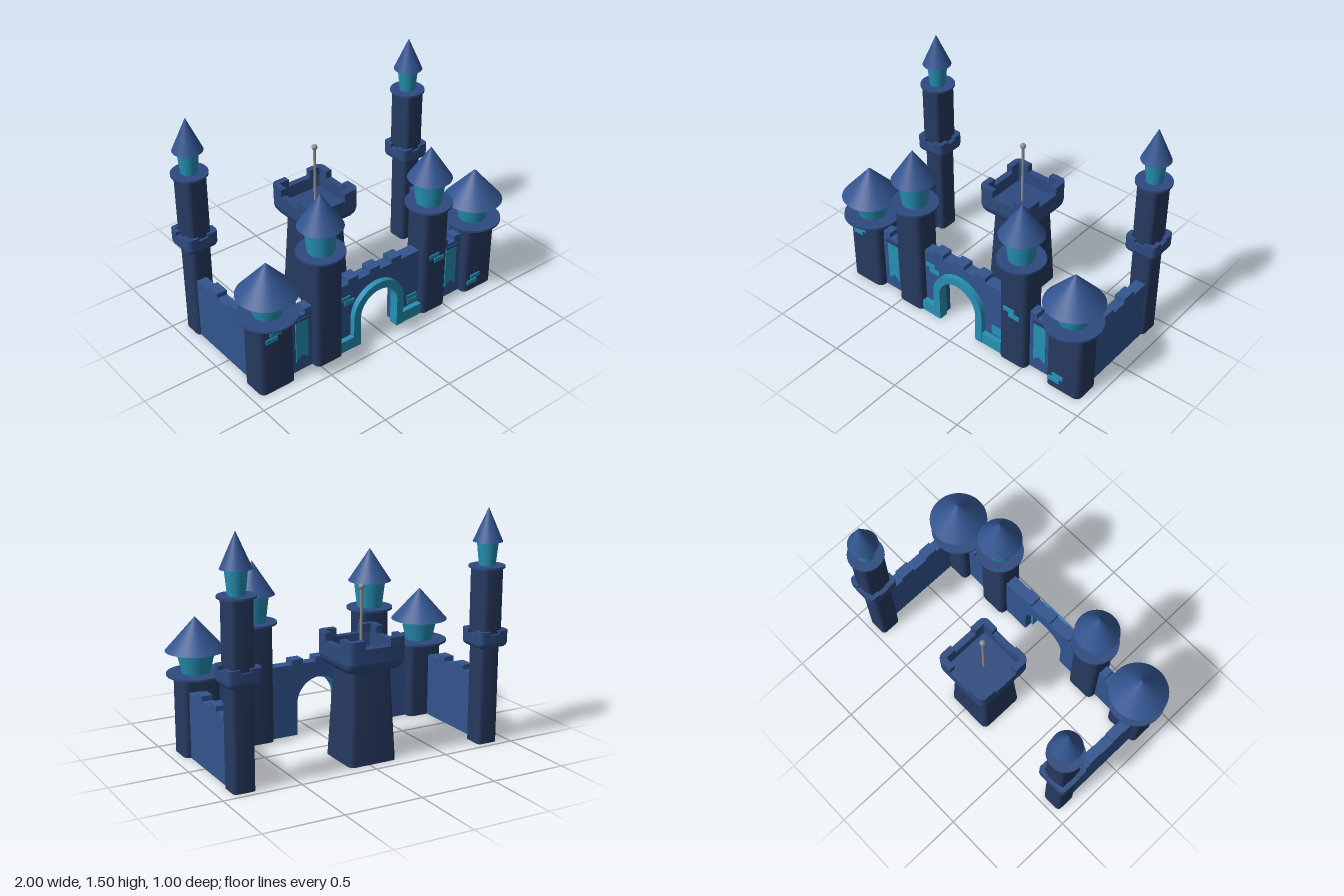
import * as THREE from 'three';
import { toCreasedNormals } from 'three/addons/utils/BufferGeometryUtils.js';

const mat = (name, color) => {
  const m = new THREE.MeshStandardMaterial({ color });
  m.name = name;
  return m;
};

export function createModel() {
  const root = new THREE.Group();
  root.name = 'castle';
  const stone = mat('blue stone', 0x32548f);
  const navy = mat('dark navy', 0x26395f);
  const rimBlue = mat('rim blue', 0x2d4a7e);
  const teal = mat('teal', 0x2590b4);
  const metal = mat('grey metal', 0x8c8c8c);

  const add = (name, geo, material, x = 0, y = 0, z = 0, parent = root) => {
    const m = new THREE.Mesh(geo, material);
    m.name = name;
    m.position.set(x, y, z);
    parent.add(m);
    return m;
  };
  const box = (name, material, x0, x1, y0, y1, z0, z1, parent) =>
    add(name, new THREE.BoxGeometry(x1 - x0, y1 - y0, z1 - z0), material,
      (x0 + x1) / 2, (y0 + y1) / 2, (z0 + z1) / 2, parent);

  // Rounded rectangle outline, counter-clockwise
  const outline = (hw, hd, r, n = 4) => {
    const pts = [];
    [[1, 1], [-1, 1], [-1, -1], [1, -1]].forEach(([sx, sy], q) => {
      for (let i = 0; i <= n; i++) {
        const a = (q + i / n) * Math.PI / 2;
        pts.push(new THREE.Vector2(sx * (hw - r) + r * Math.cos(a), sy * (hd - r) + r * Math.sin(a)));
      }
    });
    return pts;
  };

  // Closed solid through stacked rounded rectangles [y, halfWidth, halfDepth, radius]
  const loft = (sections) => {
    const pos = [], idx = [];
    const rings = sections.map(([y, hw, hd, r]) => outline(hw, hd, r).map((p) => [p.x, y, -p.y]));
    const n = rings[0].length;
    rings.forEach((ring) => ring.forEach((p) => pos.push(...p)));
    for (let k = 0; k < rings.length - 1; k++) {
      for (let i = 0; i < n; i++) {
        const a = k * n + i, b = k * n + (i + 1) % n;
        idx.push(a, b, b + n, a, b + n, a + n);
      }
    }
    const top = (rings.length - 1) * n;
    for (let i = 1; i < n - 1; i++) idx.push(0, i + 1, i, top, top + i, top + i + 1);
    const g = new THREE.BufferGeometry();
    g.setAttribute('position', new THREE.Float32BufferAttribute(pos, 3));
    g.setIndex(idx);
    return toCreasedNormals(g, 0.6);
  };

  const extrude = (shape, depth) => toCreasedNormals(
    new THREE.ExtrudeGeometry(shape, { depth, bevelEnabled: false, curveSegments: 24 }), 0.6);
  const extrudeUp = (shape, h) => extrude(shape, h).rotateX(-Math.PI / 2);

  // Crenellated crown: curved underside, hollow rim and four corner merlons
  const crown = (name, x, z, h, inner, y0, yFloor, yLow, yTop, arm, t, r) => {
    const g = new THREE.Group();
    g.name = name;
    g.position.set(x, 0, z);
    root.add(g);
    const sections = [];
    for (let i = 0; i <= 4; i++) {
      const a = (i / 4) * Math.PI / 2;
      const w = inner + (h - inner) * Math.sin(a);
      sections.push([y0 + (yFloor - y0) * (1 - Math.cos(a)), w, w, r]);
    }
    add('crownBase', loft(sections), rimBlue, 0, 0, 0, g);
    const ring = new THREE.Shape(outline(h, h, r));
    ring.holes.push(new THREE.Path(outline(h - t, h - t, r * 0.4).reverse()));
    add('crownRim', extrudeUp(ring, yLow - yFloor), rimBlue, 0, yFloor, 0, g);
    const corner = new THREE.Shape();
    corner.moveTo(h, h - arm);
    corner.lineTo(h, h - r);
    corner.absarc(h - r, h - r, r, 0, Math.PI / 2, false);
    corner.lineTo(h - arm, h);
    corner.lineTo(h - arm, h - t);
    corner.lineTo(h - t, h - t);
    corner.lineTo(h - t, h - arm);
    const geo = extrudeUp(corner, yTop - yLow);
    for (let i = 0; i < 4; i++) add('crownMerlon', geo, rimBlue, 0, yLow, 0, g).rotation.y = i * Math.PI / 2;
  };

  // Round tower head: ledge, flared drum and cone
  const head = (x, z, y, ledgeR, r0, r1, yEave, coneR, yTip) => {
    add('ledge', new THREE.CylinderGeometry(ledgeR, ledgeR, 0.013, 48), rimBlue, x, y + 0.0065, z);
    const h = yEave - y;
    add('drum', new THREE.CylinderGeometry(r1, r0, h, 48), teal, x, y + h / 2, z);
    add('coneRoof', new THREE.ConeGeometry(coneR, yTip - yEave, 48), stone, x, (yEave + yTip) / 2, z);
  };

  const ox = -0.004;
  for (const s of [-1, 1]) {
    // Front corner tower
    let x = ox + s * 0.811;
    add('cornerTower', loft([[0, 0.124, 0.093, 0.035], [0.505, 0.124, 0.093, 0.035]]), navy, x, 0, 0.308);
    head(x, 0.308, 0.502, 0.184, 0.086, 0.12, 0.655, 0.187, 0.865);

    // Gate tower
    x = ox + s * 0.422;
    add('gateTower', loft([[0, 0.101, 0.09, 0.035], [0.775, 0.101, 0.09, 0.035]]), navy, x, 0, 0.31);
    head(x, 0.31, 0.771, 0.15, 0.08, 0.103, 0.957, 0.14, 1.17);

    // Rear tower with collar
    x = ox + s * 0.846;
    add('rearTower', loft([[0, 0.07, 0.072, 0.025], [0.69, 0.07, 0.072, 0.025]]), navy, x, 0, -0.387);
    add('rearTowerUpper', loft([[0.65, 0.07, 0.088, 0.025], [1.132, 0.07, 0.088, 0.025]]), navy, x, 0, -0.39);
    crown('rearCollar', x, -0.391, 0.107, 0.085, 0.633, 0.665, 0.718, 0.741, 0.075, 0.03, 0.03);
    head(x, -0.391, 1.129, 0.113, 0.05, 0.067, 1.29, 0.093, 1.5);

    // Side wall
    x = ox + s * 0.864;
    box('sideWall', stone, x - 0.035, x + 0.035, 0, 0.418, -0.33, 0.24);
    for (const [z0, z1] of [[0.02, 0.11], [-0.19, -0.09]])
      box('sideMerlon', stone, x - 0.035, x + 0.035, 0.418, 0.45, z0, z1);

    // Short front wall with hanging banner
    x = ox + s * 0.601;
    box('shortWall', stone, x - 0.1, x + 0.1, 0, 0.41, 0.272, 0.346);
    for (const d of [-0.055, 0.055]) box('shortMerlon', stone, x + d - 0.027, x + d + 0.027, 0.41, 0.447, 0.272, 0.346);
    const flag = new THREE.Shape([[-0.045, 0.385], [-0.045, 0.08], [0, 0.118], [0.045, 0.08], [0.045, 0.385]]
      .map((p) => new THREE.Vector2(...p)));
    add('banner', extrude(flag, 0.008), teal, x, 0, 0.345);
    box('bannerRod', navy, x - 0.052, x + 0.052, 0.382, 0.392, 0.345, 0.361);
  }

  // Arched path used for the gate opening and its moulding
  const cx = -0.032, spring = 0.208;
  const archTo = (shape, r) => {
    shape.lineTo(cx + r, 0);
    shape.lineTo(cx + r, spring);
    shape.absarc(cx, spring, r, 0, Math.PI, false);
    shape.lineTo(cx - r, 0);
  };
  const wall = new THREE.Shape();
  wall.moveTo(-0.35, 0);
  wall.lineTo(-0.35, 0.475);
  wall.lineTo(0.35, 0.475);
  wall.lineTo(0.35, 0);
  archTo(wall, 0.165);
  add('gateWall', extrude(wall, 0.08), stone, 0, 0, 0.268);
  for (const x of [-0.21, -0.04, 0.13]) box('gateMerlon', stone, x - 0.04, x + 0.04, 0.475, 0.507, 0.268, 0.348);

  const trim = new THREE.Shape();
  trim.moveTo(cx - 0.2, 0);
  trim.lineTo(cx - 0.2, spring);
  trim.absarc(cx, spring, 0.2, Math.PI, 0, true);
  trim.lineTo(cx + 0.2, 0);
  archTo(trim, 0.147);
  add('gateArch', extrude(trim, 0.065), teal, 0, 0, 0.32);
  box('gatePlinth', teal, -0.33, cx - 0.16, 0, 0.08, 0.34, 0.383);
  box('gatePlinth', teal, cx + 0.16, 0.322, 0, 0.08, 0.34, 0.383);

  // Keep with tapered shaft, crown and pole
  add('keep', loft([[0, 0.163, 0.158, 0.035], [0.6, 0.134, 0.127, 0.03]]), navy, -0.03, 0, -0.265);
  crown('keepCrown', -0.03, -0.264, 0.2, 0.14, 0.58, 0.65, 0.738, 0.79, 0.115, 0.042, 0.045);
  add('pole', new THREE.CylinderGeometry(0.009, 0.009, 0.42, 16), metal, -0.03, 0.86, -0.26);
  add('poleBall', new THREE.SphereGeometry(0.019, 20, 14), metal, -0.03, 1.07, -0.26);

  // Accent bricks: x, y of lower left corner, and the face they sit on
  const bricks = [
    [-0.87, 0.41, 0.401], [-0.9, 0.375, 0.401], [0.735, 0.09, 0.401], [0.71, 0.053, 0.401],
    [0.36, 0.41, 0.4], [0.4, 0.375, 0.4],
    [-0.318, 0.36, 0.348], [-0.285, 0.325, 0.348], [0.225, 0.133, 0.348], [0.23, 0.098, 0.348],
  ];
  for (const [x, y, z] of bricks) box('accentBrick', teal, x, x + 0.08, y, y + 0.03, z - 0.001, z + 0.008);

  return root;
}
